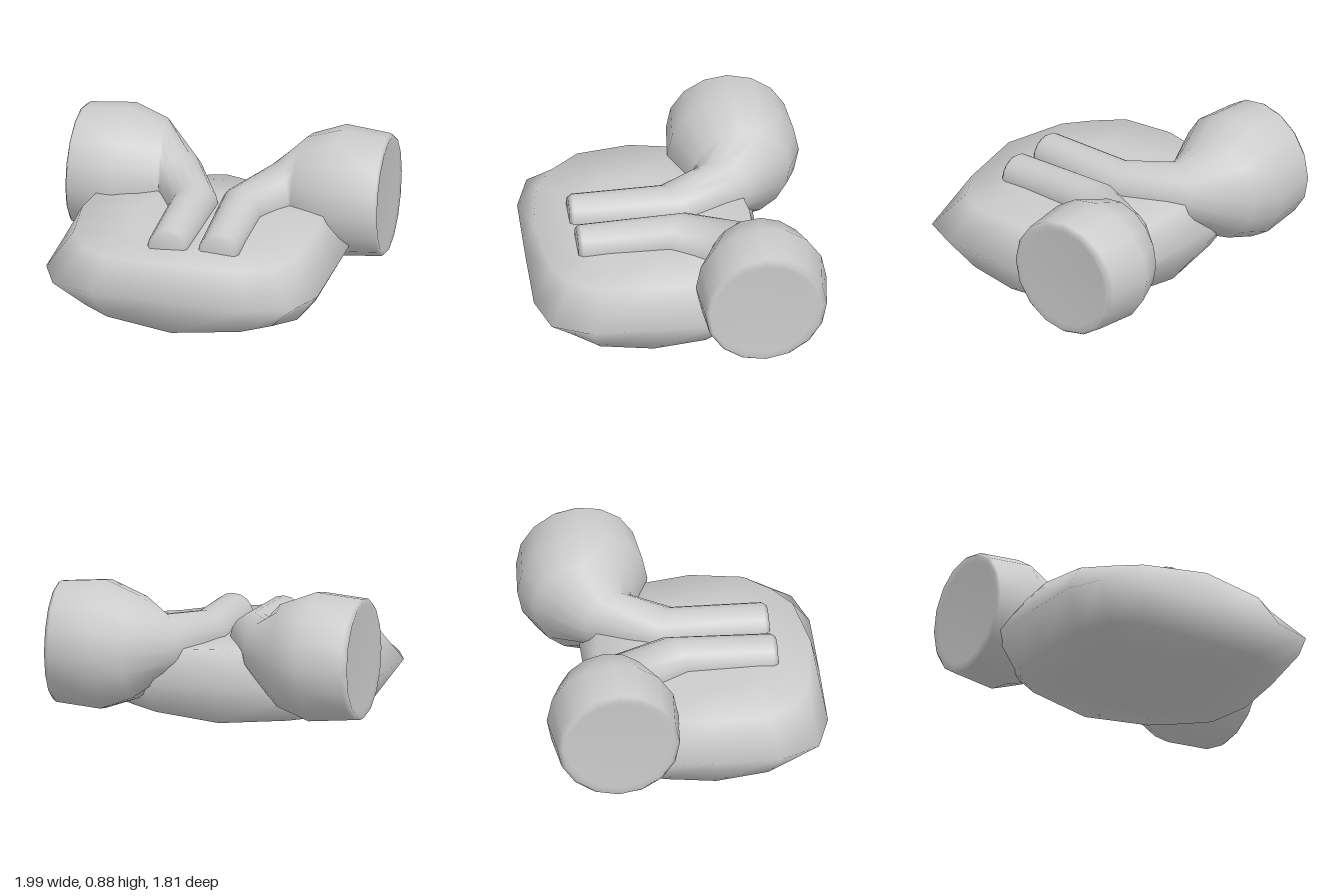
import * as THREE from 'three';

const material = new THREE.MeshStandardMaterial({ color: 0xcccccc });

// Smooth closed skin over rings that run counter-clockwise about the loft direction
function loft(name, rings) {
  const n = rings[0].length, last = (rings.length - 1) * n;
  const points = rings.flat(), index = [];
  const centre = ring => ring.reduce((s, p) => s.add(p), new THREE.Vector3()).divideScalar(n);
  const start = points.push(centre(rings[0])) - 1;
  const end = points.push(centre(rings[rings.length - 1])) - 1;
  for (let j = 0; j < n; j++) {
    const k = (j + 1) % n;
    for (let i = 0; i < last; i += n) {
      index.push(i + j, i + k, i + n + k, i + j, i + n + k, i + n + j);
    }
    index.push(start, k, j, end, last + j, last + k);
  }
  const geometry = new THREE.BufferGeometry().setFromPoints(points);
  geometry.setIndex(index);
  geometry.computeVertexNormals();
  const mesh = new THREE.Mesh(geometry, material);
  mesh.name = name;
  return mesh;
}

// Cushion outline: one quadrant [x, y, z] mirrored to a full ring
function cushionRing(quarter) {
  const back = [...quarter].reverse();
  const flip = (list, sx, sz) => list.map(([x, y, z]) => new THREE.Vector3(x * sx, y, z * sz));
  return [
    ...flip(quarter, 1, -1),
    ...flip(back.slice(1), -1, -1),
    ...flip(quarter.slice(1), -1, 1),
    ...flip(back.slice(1, -1), 1, 1),
  ];
}

function createCushion() {
  const rim = [[0.873, 0.25, 0], [0.873, 0.25, 0.41], [0.77, 0.25, 0.64], [0.51, 0.25, 0.725], [0, 0.25, 0.728]];
  const top = [[0.75, 0.485, 0], [0.72, 0.465, 0.33], [0.6, 0.445, 0.5], [0.43, 0.455, 0.61], [0, 0.485, 0.675]];
  const inner = top.map(([x, , z]) => [x * 0.55, 0.483, z * 0.55]);
  const below = list => list.map(([x, y, z]) => [x, 0.503 - y, z]);
  const base = inner.map(([x, , z]) => [x, 0.003, z]);
  const cushion = loft('cushion', [base, below(top), rim, top, inner].map(cushionRing));
  cushion.position.set(-0.065, 0, 0.172);
  return cushion;
}

// Limb cross-sections: back/inner point x, z; front/outer point x, z; centre y; half height
const limbRings = [
  [0.955, -0.82, 0.985, -0.18, 0.475, 0.33],
  [0.965, -0.855, 0.995, -0.145, 0.475, 0.37],
  [0.935, -0.885, 0.985, -0.12, 0.475, 0.385],
  [0.65, -0.91, 0.695, -0.09, 0.475, 0.41],
  [0.47, -0.83, 0.42, -0.21, 0.475, 0.325],
  [0.21, -0.54, 0.41, -0.2, 0.475, 0.185],
  [0.01, -0.11, 0.29, 0.03, 0.48, 0.145],
  [0.04, 0.58, 0.30, 0.57, 0.47, 0.13],
  [0.06, 0.605, 0.28, 0.6, 0.47, 0.11],
];

function createLimb(name, side) {
  const sides = 16;
  const rings = limbRings.map(([ax, az, bx, bz, y, h]) => {
    const ring = [];
    for (let j = 0; j < sides; j++) {
      const t = (j / sides) * Math.PI * 2, c = Math.cos(t) / 2;
      ring.push(new THREE.Vector3(
        side * ((ax + bx) / 2 + (ax - bx) * c),
        y - h * Math.sin(t),
        (az + bz) / 2 + (az - bz) * c,
      ));
    }
    return side > 0 ? ring : ring.reverse();
  });
  return loft(name, rings);
}

export function createModel() {
  const model = new THREE.Group();
  model.name = 'cushionWithLimbs';
  const leftLimb = createLimb('leftLimb', 1);
  const rightLimb = createLimb('rightLimb', -1);
  // The right limb is turned slightly forward
  rightLimb.rotation.y = 0.03;
  rightLimb.position.z = 0.015;
  model.add(createCushion(), leftLimb, rightLimb);
  return model;
}
